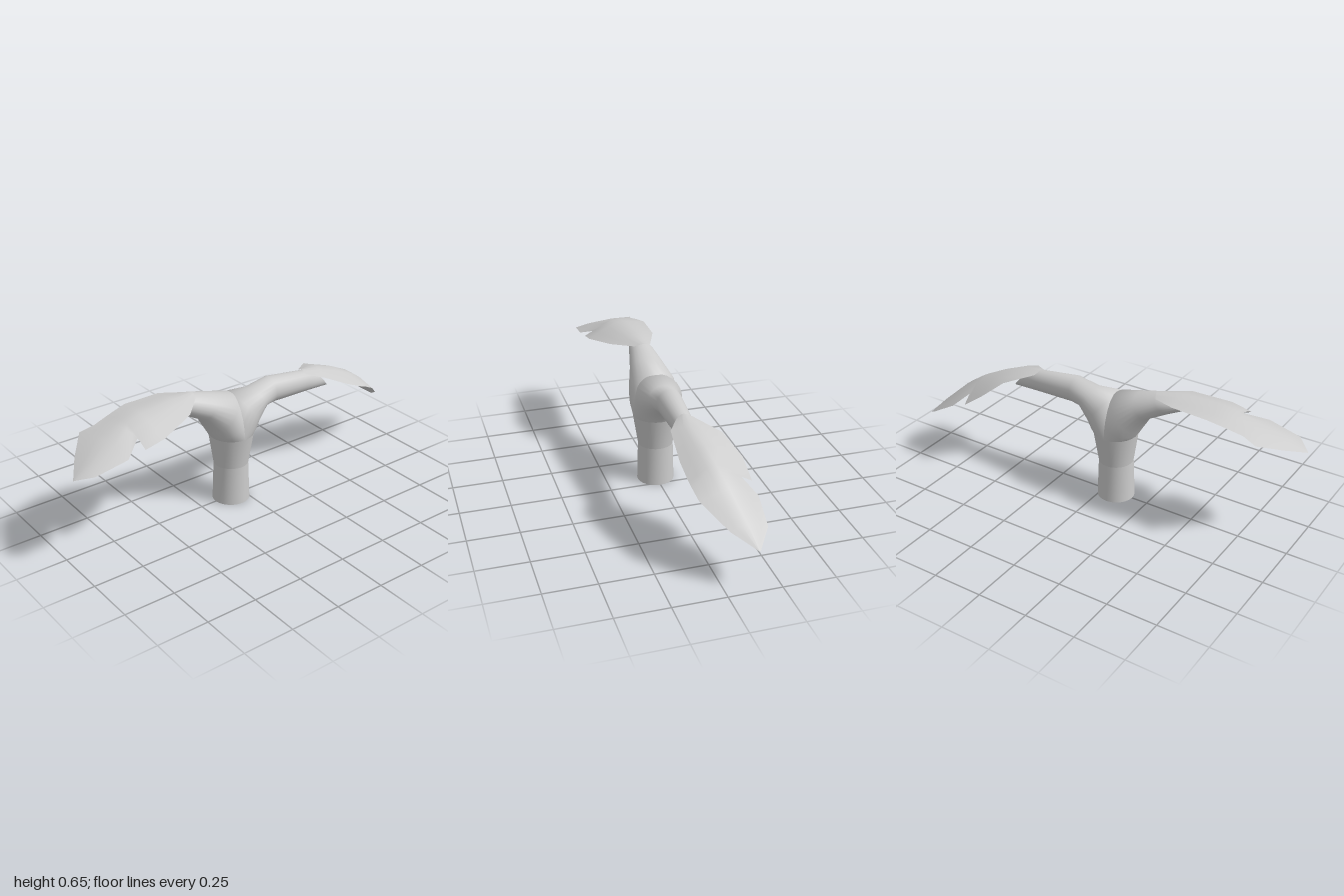
import * as THREE from 'three';

const material = new THREE.MeshStandardMaterial({ color: 0xcccccc, side: THREE.DoubleSide });

// Surface through rows of points; closed joins the row ends into a tube
function surface(name, rows, closed) {
  const n = rows[0].length, index = [];
  const across = closed ? n : n - 1;
  for (let i = 0; i < rows.length - 1; i++) {
    for (let j = 0; j < across; j++) {
      const a = i * n + j, b = i * n + (j + 1) % n;
      index.push(a, a + n, b, b, a + n, b + n);
    }
  }
  const geometry = new THREE.BufferGeometry().setFromPoints(rows.flat());
  geometry.setIndex(index);
  geometry.computeVertexNormals();
  const mesh = new THREE.Mesh(geometry, material);
  mesh.name = name;
  return mesh;
}

// Elliptical rings: [lowX, lowY, highX, highY, half width in z]
function limb(name, sections) {
  const sides = 24;
  return surface(name, sections.map(([lx, ly, hx, hy, w]) =>
    Array.from({ length: sides }, (_, k) => {
      const t = k / sides * Math.PI * 2, c = Math.cos(t) / 2;
      return new THREE.Vector3((lx + hx) / 2 + (lx - hx) * c, (ly + hy) / 2 + (ly - hy) * c, w * Math.sin(t));
    })), true);
}

// Arched blade: each row runs front edge, midrib, back edge
function leaf(name, rows) {
  return surface(name, rows.map(row =>
    new THREE.CatmullRomCurve3(row.map(p => new THREE.Vector3(...p))).getPoints(6)), false);
}

export function createModel() {
  const group = new THREE.Group();

  // Stem, with a hard edge where it starts to swell
  group.add(limb('stemBase', [[0.02, 0, -0.165, 0, 0.092], [0.013, 0.2, -0.157, 0.2, 0.087]]));
  group.add(limb('stemNeck', [[0.013, 0.2, -0.157, 0.2, 0.087], [0.04, 0.36, -0.18, 0.36, 0.112]]));
  const base = new THREE.Mesh(new THREE.CircleGeometry(0.092, 24), material);
  base.name = 'stemBottom';
  base.rotation.x = Math.PI / 2;
  base.position.x = -0.0725;
  group.add(base);

  // Two branches opening from the top of the stem
  group.add(limb('leftBranch', [
    [0.04, 0.36, -0.18, 0.36, 0.112],
    [0.045, 0.37, -0.13, 0.46, 0.118],
    [0.06, 0.395, -0.075, 0.565, 0.115],
    [0.12, 0.455, 0.05, 0.56, 0.075],
    [0.17, 0.455, 0.16, 0.588, 0.063],
    [0.37, 0.45, 0.38, 0.56, 0.05],
    [0.53, 0.44, 0.44, 0.545, 0.03],
    [0.53, 0.44, 0.53, 0.44, 0],
  ]));
  group.add(limb('rightBranch', [
    [-0.18, 0.36, 0.04, 0.36, 0.112],
    [-0.19, 0.375, -0.02, 0.46, 0.118],
    [-0.205, 0.4, -0.07, 0.572, 0.115],
    [-0.26, 0.49, -0.19, 0.605, 0.085],
    [-0.36, 0.545, -0.29, 0.635, 0.06],
    [-0.47, 0.6, -0.38, 0.635, 0.035],
    [-0.47, 0.6, -0.47, 0.6, 0],
  ]));

  // Drooping leaves, each with a notch in one edge
  group.add(leaf('leftLeaf', [
    [[0.37, 0.55, 0.03], [0.37, 0.565, 0], [0.38, 0.55, -0.04]],
    [[0.45, 0.53, 0.085], [0.47, 0.555, 0], [0.5, 0.515, -0.14]],
    [[0.6, 0.455, 0.09], [0.6, 0.51, -0.03], [0.6, 0.435, -0.2]],
    [[0.7, 0.41, 0.083], [0.69, 0.465, -0.045], [0.7, 0.365, -0.21]],
    [[0.73, 0.4, 0.08], [0.71, 0.455, -0.05], [0.71, 0.4, -0.155]],
    [[0.8, 0.365, 0.067], [0.79, 0.4, -0.07], [0.78, 0.335, -0.21]],
    [[0.92, 0.27, -0.03], [0.91, 0.29, -0.11], [0.91, 0.26, -0.205]],
    [[0.993, 0.203, -0.132], [0.995, 0.202, -0.136], [0.993, 0.203, -0.142]],
  ]));
  group.add(leaf('rightLeaf', [
    [[-0.3, 0.625, 0.04], [-0.29, 0.637, 0], [-0.31, 0.625, -0.045]],
    [[-0.4, 0.61, 0.14], [-0.42, 0.65, 0.03], [-0.42, 0.635, -0.09]],
    [[-0.58, 0.575, 0.205], [-0.6, 0.642, 0.05], [-0.6, 0.63, -0.095]],
    [[-0.68, 0.553, 0.205], [-0.68, 0.622, 0.06], [-0.69, 0.61, -0.082]],
    [[-0.67, 0.58, 0.13], [-0.71, 0.613, 0.06], [-0.77, 0.59, -0.07]],
    [[-0.77, 0.537, 0.21], [-0.8, 0.58, 0.08], [-0.84, 0.568, -0.085]],
    [[-0.93, 0.503, 0.2], [-0.92, 0.525, 0.12], [-0.93, 0.52, 0.025]],
    [[-0.995, 0.48, 0.138], [-1, 0.477, 0.132], [-0.995, 0.48, 0.125]],
  ]));
  return group;
}
